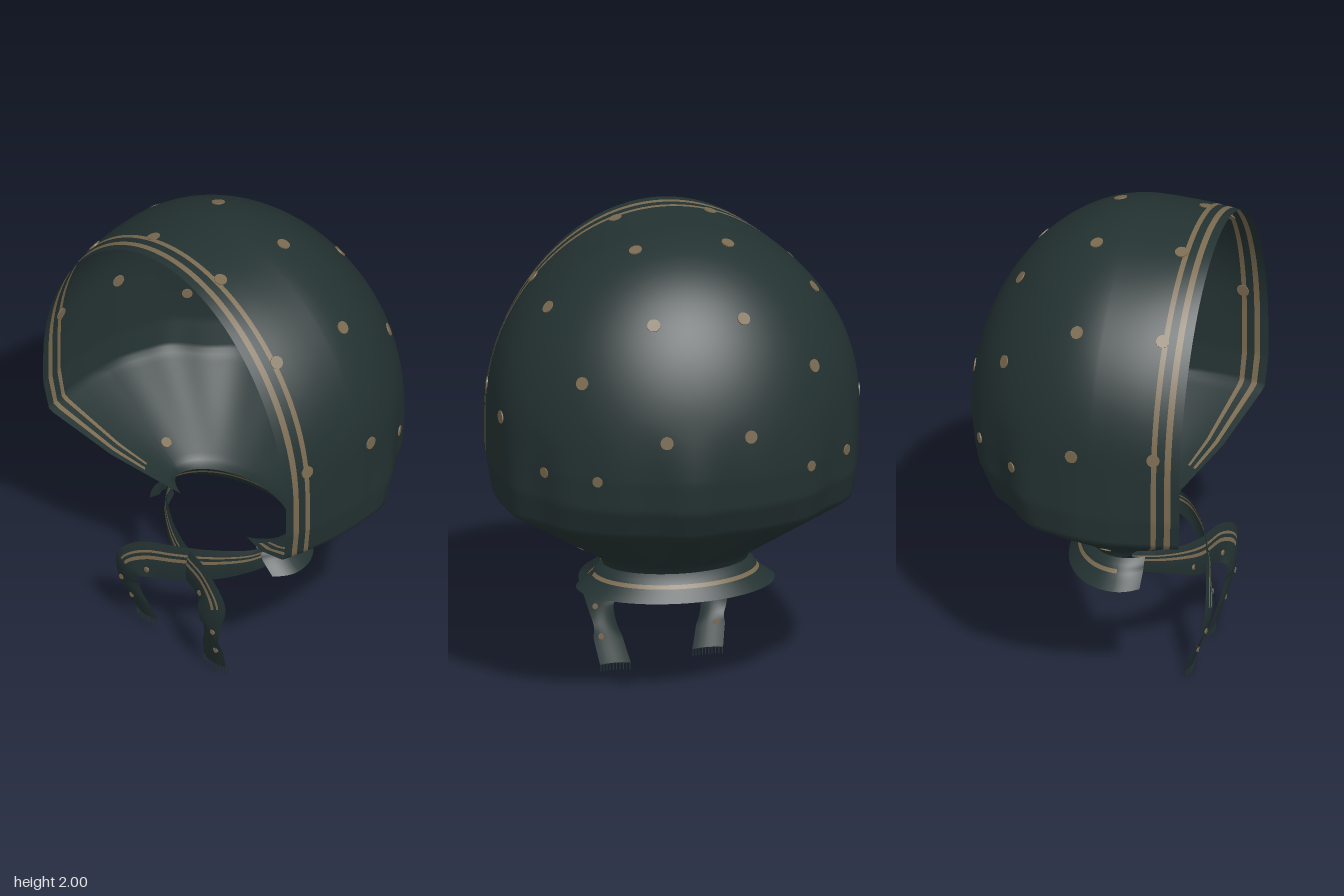
import * as THREE from 'three';

const cloth = new THREE.MeshStandardMaterial({ color: 0x243232, side: THREE.DoubleSide });
cloth.name = 'darkCloth';
const trim = new THREE.MeshStandardMaterial({ color: 0x7a6a50, side: THREE.DoubleSide });
trim.name = 'tanPattern';

const C = 0.15; // depth at which the hood is widest

// Linear lookup in a small table
function lookup(xs, vs, x) {
  let i = 0;
  while (i < xs.length - 2 && x > xs[i + 1]) i++;
  const k = THREE.MathUtils.clamp((x - xs[i]) / (xs[i + 1] - xs[i]), 0, 1);
  return vs[i] + (vs[i + 1] - vs[i]) * k;
}

// Smooth grid surface; cells flagged by isTrim get the pattern colour
function gridMesh(name, us, vs, point, isTrim) {
  const pos = [], plain = [], marked = [], n = vs.length;
  for (const u of us) for (const v of vs) pos.push(...point(u, v).toArray());
  for (let i = 0; i < us.length - 1; i++) {
    for (let j = 0; j < n - 1; j++) {
      const a = i * n + j, b = a + 1, c = a + n, d = c + 1;
      const list = isTrim((us[i] + us[i + 1]) / 2, (vs[j] + vs[j + 1]) / 2) ? marked : plain;
      list.push(a, c, b, b, c, d);
    }
  }
  const g = new THREE.BufferGeometry();
  g.setAttribute('position', new THREE.Float32BufferAttribute(pos, 3));
  g.setIndex([...plain, ...marked]);
  g.addGroup(0, plain.length, 0);
  g.addGroup(plain.length, marked.length, 1);
  g.computeVertexNormals();
  const mesh = new THREE.Mesh(g, [cloth, trim]);
  mesh.name = name;
  return mesh;
}

// U-shaped level section: t = 0 is the back centre, t = +-1 the front edges
function uSection(y, t, side, edge, front, back) {
  const s = Math.abs(t), sign = Math.sign(t);
  if (s < 0.6) {
    const a = s / 0.6 * Math.PI / 2;
    return new THREE.Vector3(sign * side * Math.sin(a), y, C - (C - back) * Math.cos(a));
  }
  const k = (s - 0.6) / 0.4;
  return new THREE.Vector3(sign * (side - (side - edge) * k * k), y, C + (front - C) * k);
}

const levels = [0.57, 0.6, 0.72, 0.87, 1.0, 1.13];
const arc = (q, p) => Math.sqrt(Math.max(0, 1 - Math.pow(Math.max(0, q), p)));

// Hood surface with gathers fanning up from the neck
function hoodPoint(y, t) {
  const side = lookup(levels, [0.3, 0.31, 0.5, 0.735, 0.75, 0.75], y) * arc((y - 1.25) / 0.75, 2);
  const edge = lookup(levels, [0.2, 0.22, 0.44, 0.69, 0.715, 0.715], y) * arc((y - 1.15) / 0.85, 1.8);
  const front = lookup(levels, [0.23, 0.26, 0.39, 0.5, 0.51, 0.51], y);
  const depth = C - lookup(levels, [-0.04, -0.06, -0.23, -0.44, -0.505, -0.52], y);
  const p = uSection(y, t, side, edge, front, C - depth * arc((y - 1.13) / 0.87, 2));
  const rise = THREE.MathUtils.smoothstep(y, 0.57, 0.85) * (1 - THREE.MathUtils.smoothstep(y, 0.95, 1.4));
  const wave = Math.sin(27 * t + 0.8) * 0.6 + Math.sin(43 * t) * 0.4;
  const r = 1 + 0.024 * rise * wave * Math.max(0, 1 - (t / 0.75) ** 2);
  p.x *= r;
  p.z = C + (p.z - C) * r;
  return p;
}

function range(n, f) {
  return Array.from({ length: n + 1 }, (_, i) => f(i / n));
}

// Round spot laid on the hood surface nearest to a target
function spot(target, radius) {
  let best = 9, by = 1, bt = 0;
  for (let y = 0.6; y < 1.995; y += 0.01) {
    for (let t = -0.95; t <= 0.95; t += 0.01) {
      const d = hoodPoint(y, t).distanceTo(target);
      if (d < best) { best = d; by = y; bt = t; }
    }
  }
  const e = 0.004, p = hoodPoint(by, bt);
  const dy = hoodPoint(by + e, bt).sub(hoodPoint(by - e, bt));
  const dt = hoodPoint(by, bt + e).sub(hoodPoint(by, bt - e));
  const m = new THREE.Mesh(new THREE.CylinderGeometry(radius, radius, 0.009, 14), trim);
  m.name = 'spot';
  m.position.copy(p);
  m.quaternion.setFromUnitVectors(new THREE.Vector3(0, 1, 0), dy.cross(dt).normalize());
  return m;
}

// Tie: each row is centre x, y, z then half-width vector x, y
function tie(name, rows, mirror) {
  const g = new THREE.Group();
  g.name = name;
  const centre = new THREE.CatmullRomCurve3(rows.map(r => new THREE.Vector3(r[0] * mirror, r[1], r[2])));
  const width = new THREE.CatmullRomCurve3(rows.map(r => new THREE.Vector3(r[3] * mirror, r[4], 0)));
  const at = (u, v) => {
    const p = centre.getPoint(u).addScaledVector(width.getPoint(u), v);
    p.z += 0.012 * (1 - v * v); // soft belly across the band
    return p;
  };
  g.add(gridMesh(name + 'Band', range(60, k => k),
    [-1, -0.75, -0.5, -0.25, -0.1, 0.08, 0.28, 0.45, 0.58, 0.8, 1], at,
    (u, v) => u < 0.64 && ((v > 0.08 && v < 0.28) || (v > 0.45 && v < 0.58))));
  // Small spots along the band
  for (const [u, v] of [[0.32, -0.5], [0.52, -0.5], [0.76, 0.45], [0.88, 0.45]]) {
    const m = new THREE.Mesh(new THREE.CylinderGeometry(0.012, 0.012, 0.008, 10), trim);
    m.name = 'tieSpot';
    m.rotation.x = Math.PI / 2;
    m.position.copy(at(u, v));
    g.add(m);
  }
  // Fringe threads
  for (let i = 0; i < 10; i++) {
    const thread = new THREE.Mesh(new THREE.BoxGeometry(0.004, 0.03, 0.004), cloth);
    thread.name = 'fringe';
    thread.position.copy(at(1, -0.95 + i * 1.9 / 9));
    thread.position.y -= 0.014;
    g.add(thread);
  }
  return g;
}

export function createModel() {
  const model = new THREE.Group();
  model.name = 'headscarf';

  // Hood with two stripes along its front edge
  const rows = [...range(40, k => 0.57 + 0.68 * k),
    ...range(44, k => 1.25 + 0.75 * Math.sin(k * Math.PI / 2)).slice(1)];
  const half = [...range(54, k => 0.6 * k).slice(1), 0.68, 0.76, 0.82, 0.872, 0.896, 0.932, 0.96, 1];
  const cols = [...half.map(t => -t).reverse(), 0, ...half];
  model.add(gridMesh('hood', rows, cols, hoodPoint, (y, t) => {
    const s = Math.abs(t);
    return y > 0.66 && ((s > 0.872 && s < 0.896) || (s > 0.932 && s < 0.96));
  }));

  // Spots, mirrored left and right
  const spots = new THREE.Group();
  spots.name = 'spots';
  const places = [[0.19, 1.76, -0.31], [0.5, 1.53, -0.3], [0.18, 1.31, -0.49], [0.44, 1.13, -0.39],
    [0.63, 1.12, -0.22], [0.19, 1.97, 0.03], [0.56, 1.74, 0.03], [0.74, 1.27, 0.07],
    [0.19, 1.96, 0.385], [0.53, 1.73, 0.39], [0.72, 1.29, 0.4], [0.4, 0.66, 0.12]];
  for (const [x, y, z] of places) {
    for (const s of [1, -1]) spots.add(spot(new THREE.Vector3(x * s, y, z), y < 1.2 ? 0.022 : 0.027));
  }
  model.add(spots);

  // Flared collar under the gathered neck
  const ys = [0.47, 0.5, 0.52, 0.535, 0.55, 0.57];
  model.add(gridMesh('collar', ys, range(60, k => -1 + 2 * k), (y, t) => {
    const w = lookup(ys, [0.41, 0.37, 0.345, 0.335, 0.325, 0.3], y);
    return uSection(y, t, w, w * 0.88, 0.25, lookup(ys, [-0.12, -0.1, -0.085, -0.075, -0.065, -0.04], y));
  }, (y, t) => Math.abs(t) < 0.6 && y > 0.52 && y < 0.535));

  // Crossed ties with hanging tails
  model.add(tie('overTie', [
    [0.31, 0.53, 0.18, 0, 0.05], [0.27, 0.515, 0.28, 0, 0.055], [0.14, 0.475, 0.38, -0.01, 0.07],
    [0, 0.44, 0.44, -0.02, 0.075], [-0.13, 0.405, 0.48, -0.04, 0.07], [-0.215, 0.35, 0.505, -0.065, 0.03],
    [-0.235, 0.27, 0.495, -0.06, 0], [-0.215, 0.16, 0.455, -0.06, 0], [-0.195, 0.062, 0.42, -0.064, 0]], 1));
  model.add(tie('underTie', [
    [0.28, 0.55, 0.19, 0, 0.045], [0.24, 0.535, 0.27, 0, 0.05], [0.12, 0.49, 0.36, -0.01, 0.06],
    [0, 0.45, 0.41, -0.02, 0.075], [-0.16, 0.43, 0.45, -0.03, 0.075], [-0.245, 0.37, 0.48, -0.08, 0.045],
    [-0.235, 0.27, 0.48, -0.06, 0], [-0.215, 0.14, 0.445, -0.06, 0], [-0.19, 0.029, 0.41, -0.064, 0]], -1));

  return model;
}
